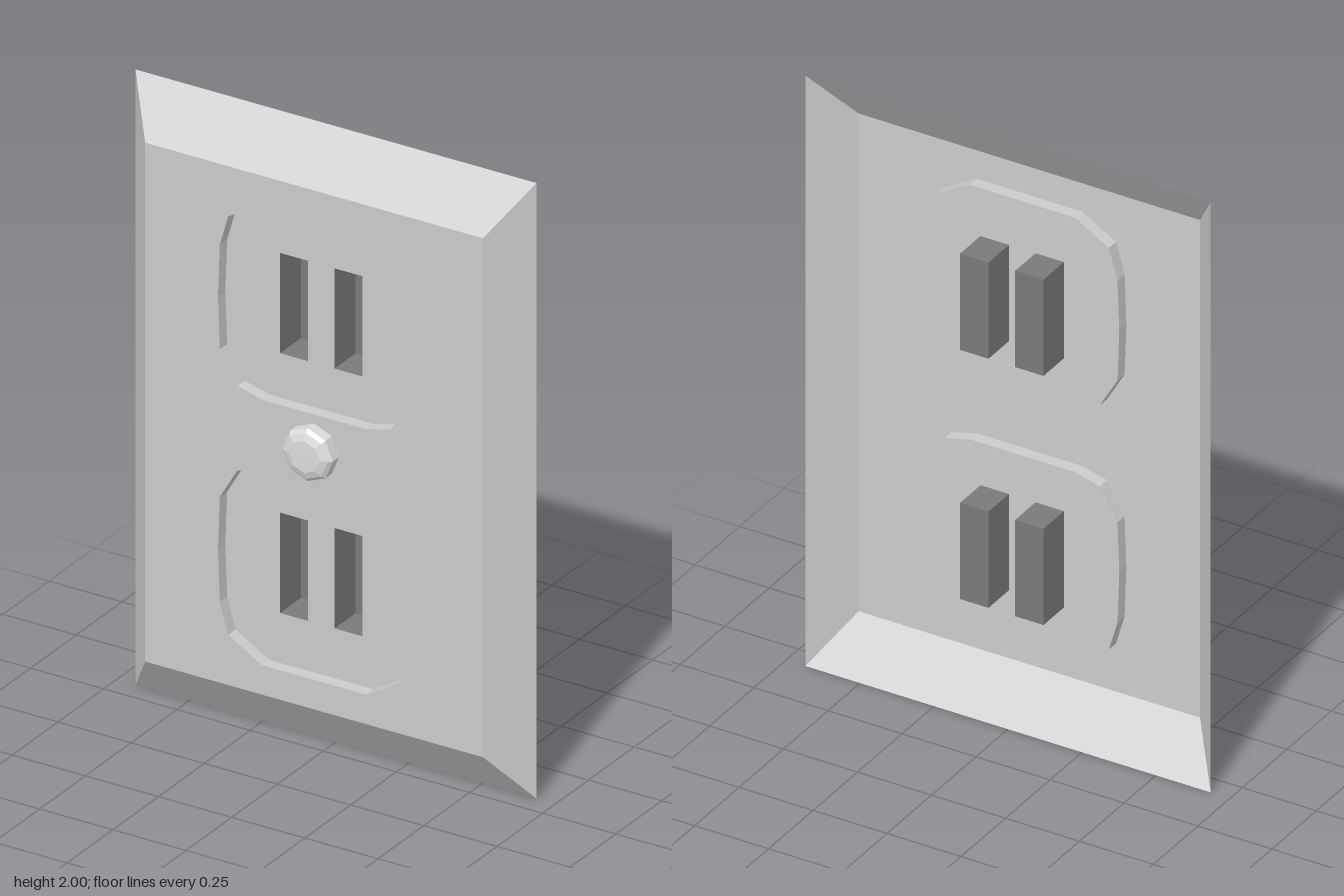
import * as THREE from 'three';

const FRONT = 0.05, RIM = -0.07, PANEL = 0.01, SLOT_BACK = -0.105;

const make = (name, color) => {
  const m = new THREE.MeshStandardMaterial({ color, side: THREE.DoubleSide, flatShading: true });
  m.name = name;
  return m;
};

// counter-clockwise rectangle outline
const rect = (x0, y0, x1, y1) => [[x0, y0], [x1, y0], [x1, y1], [x0, y1]].map(p => new THREE.Vector2(...p));

// flat sheet at depth z, with optional holes
function sheet(outline, holes, z) {
  const shape = new THREE.Shape(outline);
  holes.forEach(h => shape.holes.push(new THREE.Path(h)));
  return new THREE.ShapeGeometry(shape).translate(0, 0, z);
}

// open band joining outline a at depth za to outline b at depth zb
function band(a, za, b, zb) {
  const pos = [];
  a.forEach((p, i) => {
    const j = (i + 1) % a.length, q = a[j], r = b[i], s = b[j];
    pos.push(p.x, p.y, za, r.x, r.y, zb, s.x, s.y, zb);
    pos.push(p.x, p.y, za, s.x, s.y, zb, q.x, q.y, za);
  });
  const g = new THREE.BufferGeometry();
  g.setAttribute('position', new THREE.Float32BufferAttribute(pos, 3));
  g.computeVertexNormals();
  return g;
}

// rounded socket outline, relative to the plate centre; dir = 1 upper, -1 lower
function socketOutline(dir) {
  const half = [[0.175, 0.115], [0.262, 0.137], [0.322, 0.24], [0.328, 0.41],
    [0.322, 0.58], [0.293, 0.68], [0.178, 0.747]];
  const left = half.map(([x, y]) => [-x, y]).reverse();
  const pts = [...half, ...left].map(([x, y]) => new THREE.Vector2(x, 1 + dir * y));
  return dir > 0 ? pts : pts.reverse();
}

export function createModel() {
  const group = new THREE.Group();
  const plateMat = make('plate grey', 0xcccccc);
  const slotMat = make('slot dark grey', 0x7a7a7a);
  const screwMat = make('screw light grey', 0xdcdcdc);
  const add = (name, geo, mat, parent = group) => {
    const mesh = new THREE.Mesh(geo, mat);
    mesh.name = name;
    parent.add(mesh);
    return mesh;
  };

  // cover plate: front face with two openings and a sloped rim, open behind
  const inner = rect(-0.577, 0.157, 0.577, 1.843);
  const outer = rect(-0.685, 0, 0.685, 2);
  add('plateFace', sheet(inner, [socketOutline(1), socketOutline(-1)], FRONT), plateMat);
  add('slopedRim', band(inner, FRONT, outer, RIM), plateMat);

  // recessed sockets, each with two slots
  for (const dir of [1, -1]) {
    const socket = new THREE.Group();
    socket.name = dir > 0 ? 'upperSocket' : 'lowerSocket';
    group.add(socket);
    const outline = socketOutline(dir);
    const yMid = 1 + dir * 0.422;
    const slots = [-0.093, 0.093].map(x => rect(x - 0.048, yMid - 0.163, x + 0.048, yMid + 0.163));
    add('socketWall', band(outline, FRONT, outline, PANEL), plateMat, socket);
    add('socketPanel', sheet(outline, slots, PANEL), plateMat, socket);
    // pockets open to the front and standing out behind
    slots.forEach(s => {
      add('slotWalls', band(s, PANEL, s, SLOT_BACK), slotMat, socket);
      add('slotBack', sheet(s, [], SLOT_BACK), slotMat, socket);
    });
  }

  // eight-sided screw head
  const profile = [[0.086, 0], [0.086, 0.035], [0.075, 0.046], [0.052, 0.054], [0, 0.055]]
    .map(p => new THREE.Vector2(...p));
  const screw = add('screwHead', new THREE.LatheGeometry(profile, 8), screwMat);
  screw.rotation.x = Math.PI / 2;
  screw.position.set(0, 1, FRONT);

  return group;
}
